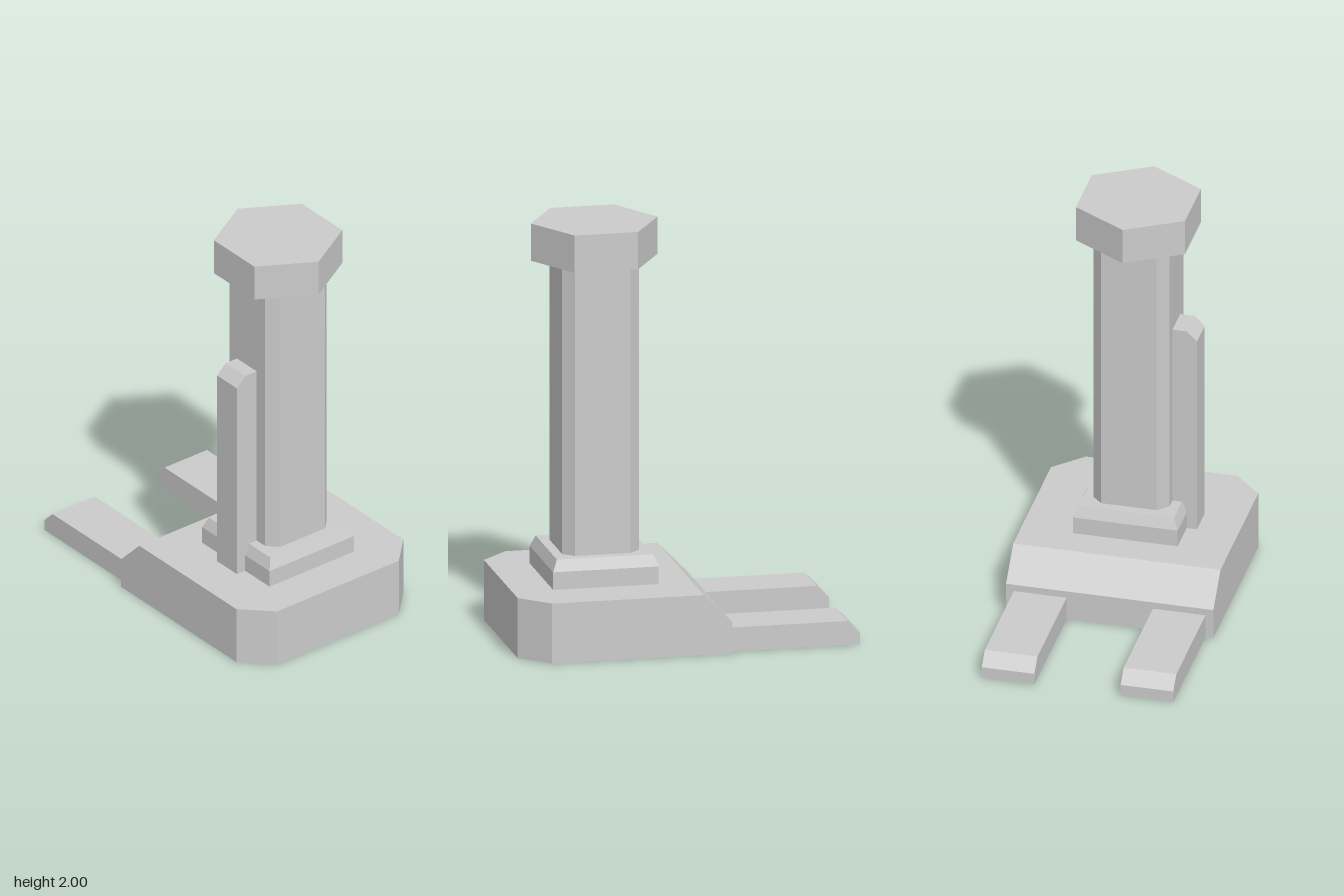
import * as THREE from 'three';

const material = new THREE.MeshStandardMaterial({ color: 0xcccccc, flatShading: true });
const COLUMN_Z = 0.362;

// Rectangle in plan as [x, z] points, counter-clockwise from above, with
// optional corner cuts at the front (+z) and back (-z).
function plan(x0, x1, z0, z1, front = 0, back = 0) {
  const pts = [];
  const corner = (x, z, cut, ax, az, bx, bz) => {
    if (cut) pts.push([x + ax * cut, z + az * cut], [x + bx * cut, z + bz * cut]);
    else pts.push([x, z]);
  };
  corner(x0, z1, front, 0, -1, 1, 0);
  corner(x1, z1, front, -1, 0, 0, -1);
  corner(x1, z0, back, 0, 1, -1, 0);
  corner(x0, z0, back, 1, 0, 0, 1);
  return pts;
}

// Closed solid through a stack of [height, plan] sections.
function loft(name, sections) {
  const rings = sections.map(([y, pts]) => pts.map(([x, z]) => [x, y, z]));
  const n = rings[0].length;
  const top = rings[rings.length - 1];
  const bottom = rings[0];
  const pos = [];
  const tri = (a, b, c) => pos.push(...a, ...b, ...c);
  for (let r = 0; r < rings.length - 1; r++) {
    for (let i = 0; i < n; i++) {
      const j = (i + 1) % n;
      tri(rings[r][i], rings[r][j], rings[r + 1][j]);
      tri(rings[r][i], rings[r + 1][j], rings[r + 1][i]);
    }
  }
  for (let i = 1; i < n - 1; i++) {
    tri(top[0], top[i], top[i + 1]);
    tri(bottom[0], bottom[i + 1], bottom[i]);
  }
  const geometry = new THREE.BufferGeometry();
  geometry.setAttribute('position', new THREE.Float32BufferAttribute(pos, 3));
  geometry.computeVertexNormals();
  const mesh = new THREE.Mesh(geometry, material);
  mesh.name = name;
  return mesh;
}

// Square plan around the column axis
const square = (h, cut = 0) => plan(-h, h, COLUMN_Z - h, COLUMN_Z + h, cut, cut);

export function createModel() {
  const model = new THREE.Group();
  model.name = 'columnOnForkedBase';

  // Base block: cut front corners, sloped rear edge
  const basePlan = (back) => plan(-0.5, 0.5, back, 0.81, 0.135);
  model.add(loft('base', [
    [0, basePlan(-0.19)], [0.15, basePlan(-0.19)], [0.29, basePlan(-0.052)],
  ]));

  // Two fork prongs at the rear with bevelled tips
  for (const [name, x0, x1] of [['leftFork', 0.208, 0.462], ['rightFork', -0.462, -0.208]]) {
    const forkPlan = (back) => plan(x0, x1, back, -0.19);
    model.add(loft(name, [
      [0, forkPlan(-0.81)], [0.056, forkPlan(-0.81)], [0.116, forkPlan(-0.75)],
    ]));
  }

  // Bevelled collar and the chamfered column
  model.add(loft('collar', [[0.29, square(0.253)], [0.375, square(0.253)], [0.43, square(0.23)]]));
  model.add(loft('column', [[0.43, square(0.184, 0.05)], [1.82, square(0.184, 0.05)]]));

  // Rail on the right side of the column, bevelled at its top outer edge
  const railPlan = (outer) => plan(outer, -0.18, 0.284, 0.432);
  model.add(loft('sideRail', [[0.29, railPlan(-0.302)], [1.308, railPlan(-0.302)], [1.357, railPlan(-0.253)]]));

  // Hexagonal head
  const head = new THREE.Mesh(new THREE.CylinderGeometry(0.304, 0.304, 0.18, 6), material);
  head.name = 'hexHead';
  head.position.set(0, 1.91, COLUMN_Z);
  model.add(head);

  return model;
}
